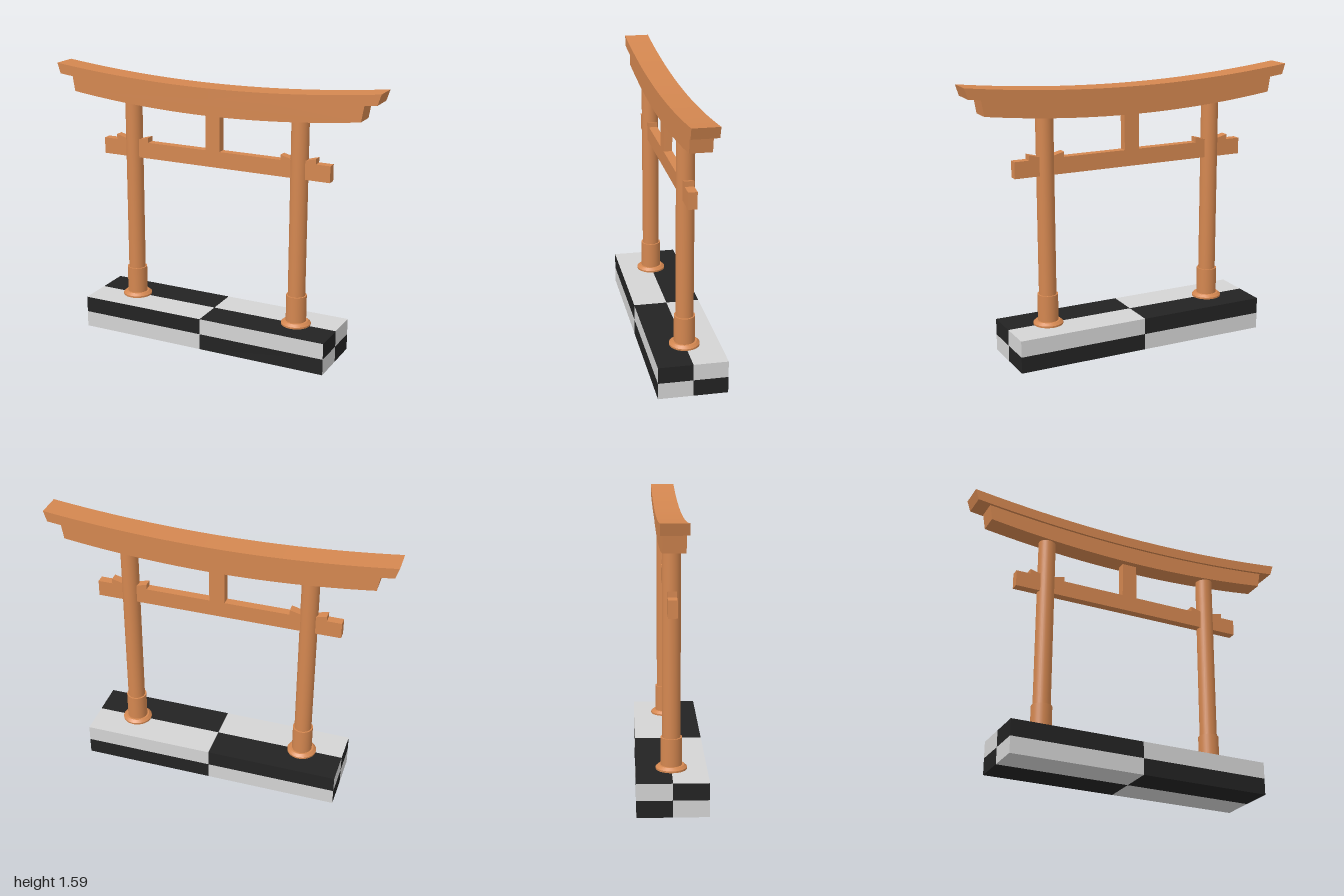
import * as THREE from 'three';

const wood = new THREE.MeshStandardMaterial({ color: 0xd48750 });
wood.name = 'orange wood';
const pale = new THREE.MeshStandardMaterial({ color: 0xd4d4d4 });
pale.name = 'pale stone';
const dark = new THREE.MeshStandardMaterial({ color: 0x232323 });
dark.name = 'dark stone';

function add(parent, name, geometry, material, x = 0, y = 0, z = 0) {
  const mesh = new THREE.Mesh(geometry, material);
  mesh.name = name;
  mesh.position.set(x, y, z);
  parent.add(mesh);
  return mesh;
}

// Outline in x and y, extruded evenly to both sides of z = 0
function slab(points, depth) {
  const shape = new THREE.Shape(points.map(([x, y]) => new THREE.Vector2(x, y)));
  const geometry = new THREE.ExtrudeGeometry(shape, { depth, bevelEnabled: false });
  return geometry.translate(0, 0, -depth / 2);
}

// Upswept beam: parabolic underside and top, with slanted ends
function sweptBeam(bottomHalf, bottomMid, bottomEnd, topHalf, topMid, topEnd, depth) {
  const n = 32, points = [];
  for (let i = 0; i <= n; i++) {
    const t = (2 * i) / n - 1;
    points.push([t * bottomHalf, bottomMid + (bottomEnd - bottomMid) * t * t]);
  }
  for (let i = n; i >= 0; i--) {
    const t = (2 * i) / n - 1;
    points.push([t * topHalf, topMid + (topEnd - topMid) * t * t]);
  }
  return slab(points, depth);
}

// Block whose faces are each divided into a two by two checker
function checkerBlock(w, h, d) {
  const geometry = new THREE.BoxGeometry(w, h, d, 2, 2, 2);
  const { position, normal } = geometry.attributes;
  geometry.clearGroups();
  for (let start = 0; start < geometry.index.count; start += 6) {
    const centre = new THREE.Vector3(), facing = new THREE.Vector3();
    for (let k = 0; k < 6; k++) {
      const v = geometry.index.getX(start + k);
      centre.add(new THREE.Vector3().fromBufferAttribute(position, v));
      facing.fromBufferAttribute(normal, v);
    }
    let parity = 0;
    if (!facing.x && centre.x > 0) parity++;
    if (!facing.y && centre.y > 0) parity++;
    if (!facing.z && centre.z < 0) parity++;
    geometry.addGroup(start, 6, parity % 2);
  }
  return geometry;
}

export function createModel() {
  const model = new THREE.Group();
  model.name = 'gate';

  add(model, 'base', checkerBlock(1.54, 0.19, 0.39), [pale, dark], 0, 0.095, 0);

  // Posts with sleeves, foot rings and wedges
  for (const side of [-1, 1]) {
    const post = new THREE.Group();
    post.name = side > 0 ? 'leftPost' : 'rightPost';
    post.position.x = side * 0.525;
    model.add(post);
    add(post, 'shaft', new THREE.CylinderGeometry(0.05, 0.05, 1.23, 32), wood, 0, 0.805, 0);
    add(post, 'sleeve', new THREE.CylinderGeometry(0.059, 0.059, 0.18, 32), wood, 0, 0.28, 0);
    add(post, 'footRing', new THREE.CylinderGeometry(0.086, 0.086, 0.01, 32), wood, 0, 0.195, 0);
    add(post, 'footRingSlope', new THREE.CylinderGeometry(0.07, 0.086, 0.014, 32), wood, 0, 0.207, 0);
    for (const s of [-1, 1]) {
      const outline = [[0.03, 1.16], [0.105, 1.16], [0.105, 1.19], [0.03, 1.17]].map(([x, y]) => [s * x, y]);
      add(post, 'wedge', slab(outline, 0.05), wood);
    }
  }

  // Tie beam and central strut
  add(model, 'tieBeam', new THREE.BoxGeometry(1.43, 0.095, 0.05), wood, 0, 1.1125, 0);
  add(model, 'strut', new THREE.BoxGeometry(0.09, 0.23, 0.05), wood, 0, 1.265, 0);

  // Two stacked curved top beams
  add(model, 'lowerLintel', sweptBeam(0.89, 1.37, 1.43, 0.905, 1.47, 1.52, 0.12), wood);
  add(model, 'upperLintel', sweptBeam(0.98, 1.47, 1.53, 1, 1.53, 1.592, 0.146), wood);

  return model;
}
